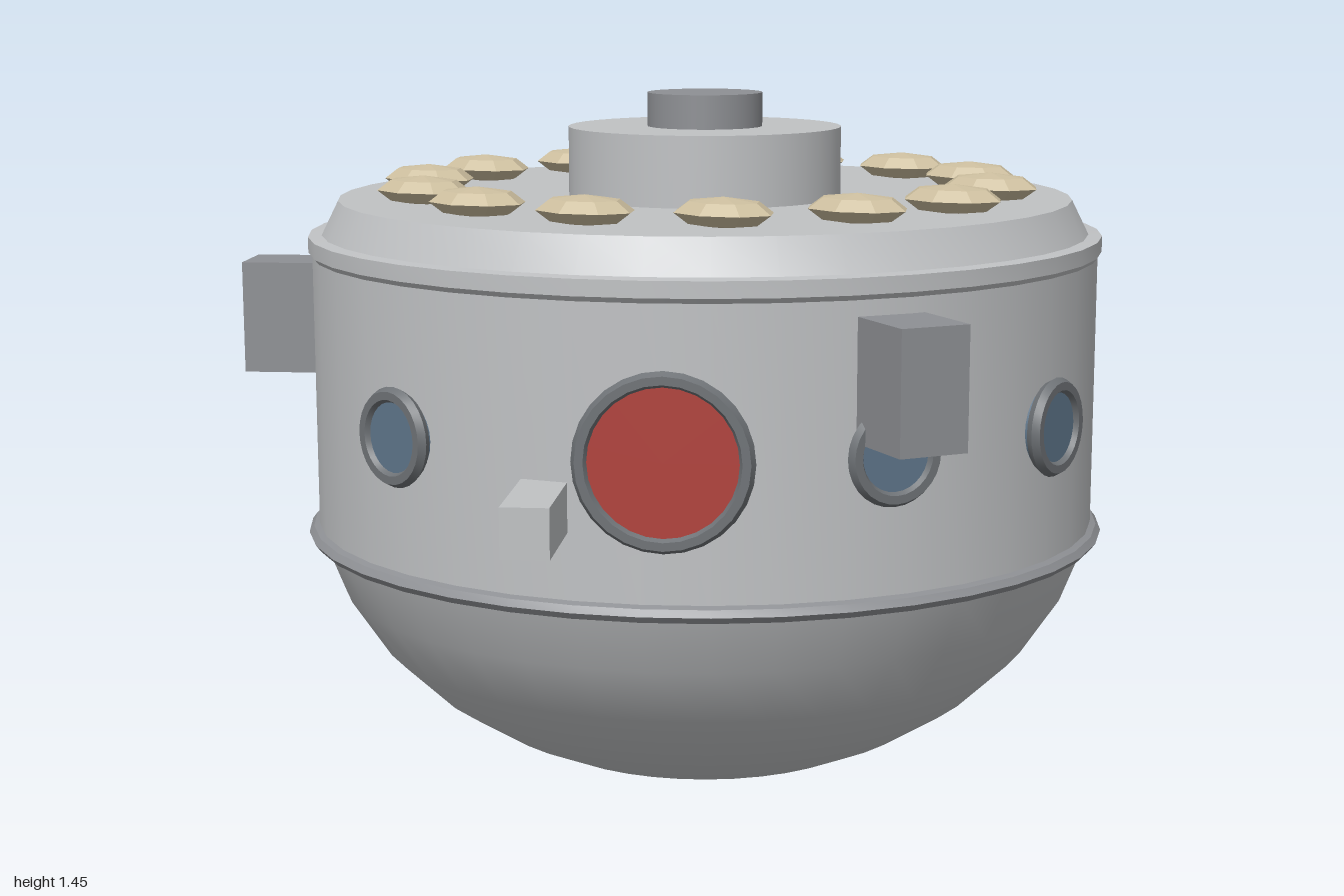
import * as THREE from 'three';
import { toCreasedNormals } from 'three/addons/utils/BufferGeometryUtils.js';

const material = (name, color) => {
  const m = new THREE.MeshStandardMaterial({ color });
  m.name = name;
  return m;
};
const rad = THREE.MathUtils.degToRad;

export function createModel() {
  const hullGrey = material('hull grey', 0xc0c2c4);
  const midGrey = material('mid grey', 0x8e9094);
  const frameGrey = material('frame grey', 0x6e7276);
  const glassBlue = material('glass blue', 0x5f768b);
  const black = material('black', 0x2b2b2b);
  const red = material('red', 0xb0403a);
  const tan = material('tan', 0xcdbf9f);

  const model = new THREE.Group();
  model.name = 'pod';
  model.position.z = -0.02; // hull axis sits slightly behind the centre

  const add = (name, geometry, mat, x = 0, y = 0, z = 0, parent = model) => {
    const mesh = new THREE.Mesh(geometry, mat);
    mesh.name = name;
    mesh.position.set(x, y, z);
    parent.add(mesh);
    return mesh;
  };
  const lathe = (points) => toCreasedNormals(
    new THREE.LatheGeometry(points.map(([r, y]) => new THREE.Vector2(r, y)), 40), 0.45);

  // Rounded bowl, straight drum, stepped collar and flat deck
  add('bowl', lathe([[0, 0.005], [0.13, 0.012], [0.25, 0.034], [0.36, 0.07], [0.46, 0.115],
    [0.585, 0.195], [0.69, 0.295], [0.77, 0.415], [0.815, 0.53]]), hullGrey);
  add('drum', lathe([[0.82, 0.53], [0.82, 1.12], [0.828, 1.13], [0.828, 1.162],
    [0.80, 1.165], [0.765, 1.235], [0, 1.235]]), hullGrey);
  add('rimBand', lathe([[0.815, 0.524], [0.832, 0.528], [0.842, 0.541], [0.832, 0.554],
    [0.818, 0.56]]), midGrey);

  // Hub on the deck
  add('hub', new THREE.CylinderGeometry(0.285, 0.285, 0.15, 40), hullGrey, 0, 1.305, 0);
  add('hubCap', new THREE.CylinderGeometry(0.12, 0.12, 0.08, 32), midGrey, 0, 1.41, 0);

  // Ring of faceted lamps, all facing the same way
  const lampShape = toCreasedNormals(new THREE.SphereGeometry(1, 8, 4).scale(0.107, 0.03, 0.08), 0.05);
  for (let i = 0; i < 14; i++) {
    const a = (i / 14) * Math.PI * 2;
    add('lamp', lampShape, tan, Math.cos(a) * 0.597, 1.261, Math.sin(a) * 0.597);
  }

  // Dark hatch near the back edge of the deck
  add('hatch', new THREE.CylinderGeometry(0.092, 0.092, 0.075, 20), black, -0.43, 1.267, -0.48);

  // Group turned to an angle around the hull; its +z points outward
  const station = (name, degrees) => {
    const g = new THREE.Group();
    g.name = name;
    g.rotation.y = rad(degrees);
    model.add(g);
    return g;
  };

  // Portholes: bevelled frame and flat pane
  const porthole = (name, degrees, radius, paneMaterial) => {
    const g = station(name, degrees);
    const tube = 0.016;
    const frame = toCreasedNormals(new THREE.TorusGeometry(radius - tube, tube, 6, 28), 0.4);
    add('portholeFrame', frame, frameGrey, 0, 0.83, 0.836, g);
    const pane = new THREE.CylinderGeometry(radius - tube, radius - tube, 0.03, 28).rotateX(Math.PI / 2);
    add('portholePane', pane, paneMaterial, 0, 0.83, 0.825, g);
  };
  for (const degrees of [-10, 60, 90, -130]) porthole('porthole', degrees, 0.098, glassBlue);
  for (const degrees of [-80, 140]) porthole('darkPorthole', degrees, 0.098, black);
  porthole('redPorthole', 30, 0.17, red);

  // Three blocks spaced evenly around the hull
  for (const degrees of [60, 180, -60]) {
    add('thrusterBlock', new THREE.BoxGeometry(0.14, 0.235, 0.18), midGrey,
      0, 0.972, 0.89, station('thruster', degrees));
  }

  // Small bracket beside the red porthole
  add('bracketBlock', new THREE.BoxGeometry(0.09, 0.095, 0.25), hullGrey,
    -0.227, 0.735, 0.89, station('bracket', 30));

  const root = new THREE.Group();
  root.name = 'model';
  root.add(model);
  return root;
}
